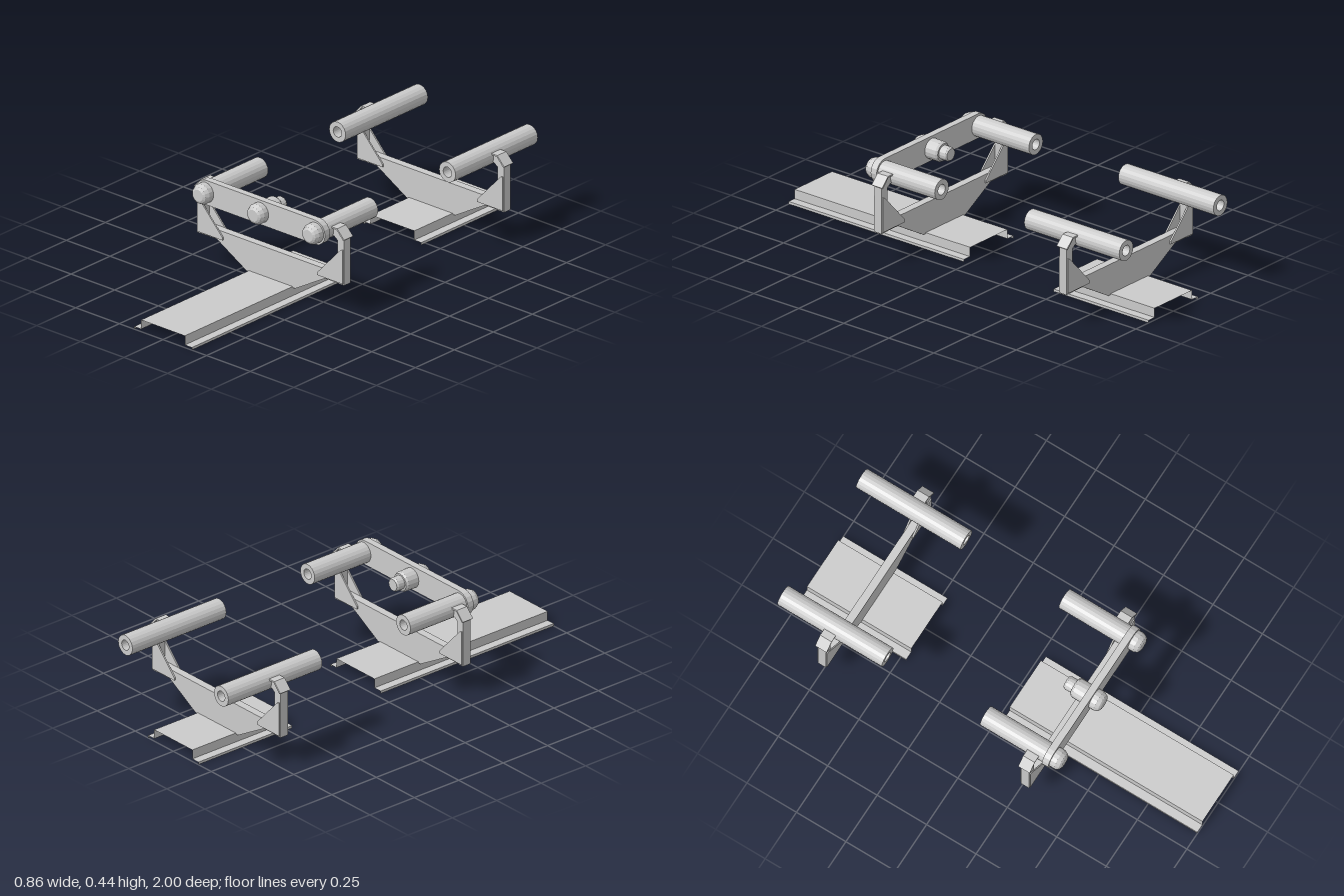
import * as THREE from 'three';

const mat = new THREE.MeshStandardMaterial({ color: 0xcccccc, side: THREE.DoubleSide });
const flat = new THREE.MeshStandardMaterial({ color: 0xcccccc, side: THREE.DoubleSide, flatShading: true });
const TUBE_X = 0.315, TUBE_Y = 0.387;

function add(parent, name, geometry, material = mat) {
  const mesh = new THREE.Mesh(geometry, material);
  mesh.name = name;
  parent.add(mesh);
  return mesh;
}

// Plate cut from an outline in x/y, spanning z0..z1; side = -1 mirrors it
function plate(points, z0, z1, side = 1) {
  const shape = new THREE.Shape(points.map(([x, y]) => new THREE.Vector2(x * side, y)));
  return new THREE.ExtrudeGeometry(shape, { depth: z1 - z0, bevelEnabled: false }).translate(0, 0, z0);
}

// Turned part along z from [radius, z] pairs
function turned(profile, x, segments = 16) {
  const pts = profile.map(([r, z]) => new THREE.Vector2(r, z));
  return new THREE.LatheGeometry(pts, segments).rotateX(Math.PI / 2).scale(1, 1, 1).translate(x, TUBE_Y, 0);
}

// Hollow round rail
function rail(parent, x, z0, z1) {
  const R = 0.047, r = 0.024;
  add(parent, 'rail', turned([[r, z0], [R, z0], [R, z1], [r, z1], [r, z0]], x, 20), flat);
}

// Folded sheet floor channel: raised tread, webs, flanges and small lips
function channel(parent, z0, z1) {
  const half = [[0.165, 0], [0.165, 0.012], [0.125, 0.012], [0.125, 0.055]];
  const profile = [...half.map(([x, y]) => [-x, y]), ...half.slice().reverse()];
  const pos = [], index = [];
  profile.forEach(([x, y]) => pos.push(x, y, z0, x, y, z1));
  for (let i = 0; i < profile.length - 1; i++) {
    const a = i * 2;
    index.push(a, a + 1, a + 2, a + 1, a + 3, a + 2);
  }
  const g = new THREE.BufferGeometry();
  g.setAttribute('position', new THREE.Float32BufferAttribute(pos, 3));
  g.setIndex(index);
  const sharp = g.toNonIndexed();
  sharp.computeVertexNormals();
  add(parent, 'floorChannel', sharp);
}

// Cradle: tapered cross member, posts, hooked caps and gussets
function cradle(parent, z) {
  const g = new THREE.Group();
  g.name = 'cradle';
  g.position.z = z;
  parent.add(g);
  const edge = [[0.4, 0.193], [0.4, 0.148], [0.31, 0.148], [0.14, 0.05], [0.126, 0.05], [0.126, 0.053]];
  const outline = [...edge, ...edge.slice().reverse().map(([x, y]) => [-x, y])];
  add(g, 'crossMember', plate(outline, -0.018, 0.018));

  const post = [[0.422, 0.148], [0.422, 0.365], [0.385, 0.402], [0.35, 0.402], [0.345, 0.365],
    [0.365, 0.363], [0.383, 0.35], [0.383, 0.148]];
  const cap = [[0.43, 0.366], [0.39, 0.408], [0.345, 0.408], [0.345, 0.401], [0.387, 0.401], [0.424, 0.361]];
  const gusset = [[0.418, 0.155], [0.418, 0.314], [0.405, 0.311], [0.271, 0.167], [0.271, 0.155]];
  for (const side of [1, -1]) {
    add(g, 'post', plate(post, -0.02, 0.02, side));
    add(g, 'postCap', plate(cap, -0.029, 0.029, side));
    add(g, 'frontGusset', plate(gusset, 0.018, 0.025, side));
    add(g, 'rearGusset', plate(gusset, -0.025, -0.018, side));
  }
}

export function createModel() {
  const model = new THREE.Group();
  model.name = 'railCradleAssembly';

  channel(model, 0.025, 1);
  channel(model, -1, -0.472);
  cradle(model, 0.29);
  cradle(model, -0.737);

  for (const x of [TUBE_X, -TUBE_X]) {
    rail(model, x, 0.025, 0.345);
    rail(model, x, -1, -0.472);
  }

  // Rounded tie bar joining the front rail ends
  const bar = [];
  for (const side of [1, -1]) {
    for (let i = 0; i <= 8; i++) {
      const a = -Math.PI / 2 + (i / 8) * Math.PI;
      bar.push([side * (0.313 + 0.057 * Math.cos(a)), TUBE_Y + side * 0.057 * Math.sin(a)]);
    }
  }
  add(model, 'tieBar', plate(bar, 0.342, 0.374));

  // Domed end caps and the centre pin
  const dome = [[0.047, 0.4], [0.038, 0.417], [0.027, 0.423], [0, 0.423]];
  for (const x of [TUBE_X, -TUBE_X]) {
    add(model, 'endCap', turned([[0, 0.37], [0.047, 0.37], ...dome], x), flat);
  }
  add(model, 'centrePin', turned([[0, 0.235], [0.027, 0.235], [0.032, 0.243], [0.032, 0.276],
    [0.04, 0.276], [0.046, 0.286], ...dome], 0), flat);

  return model;
}
